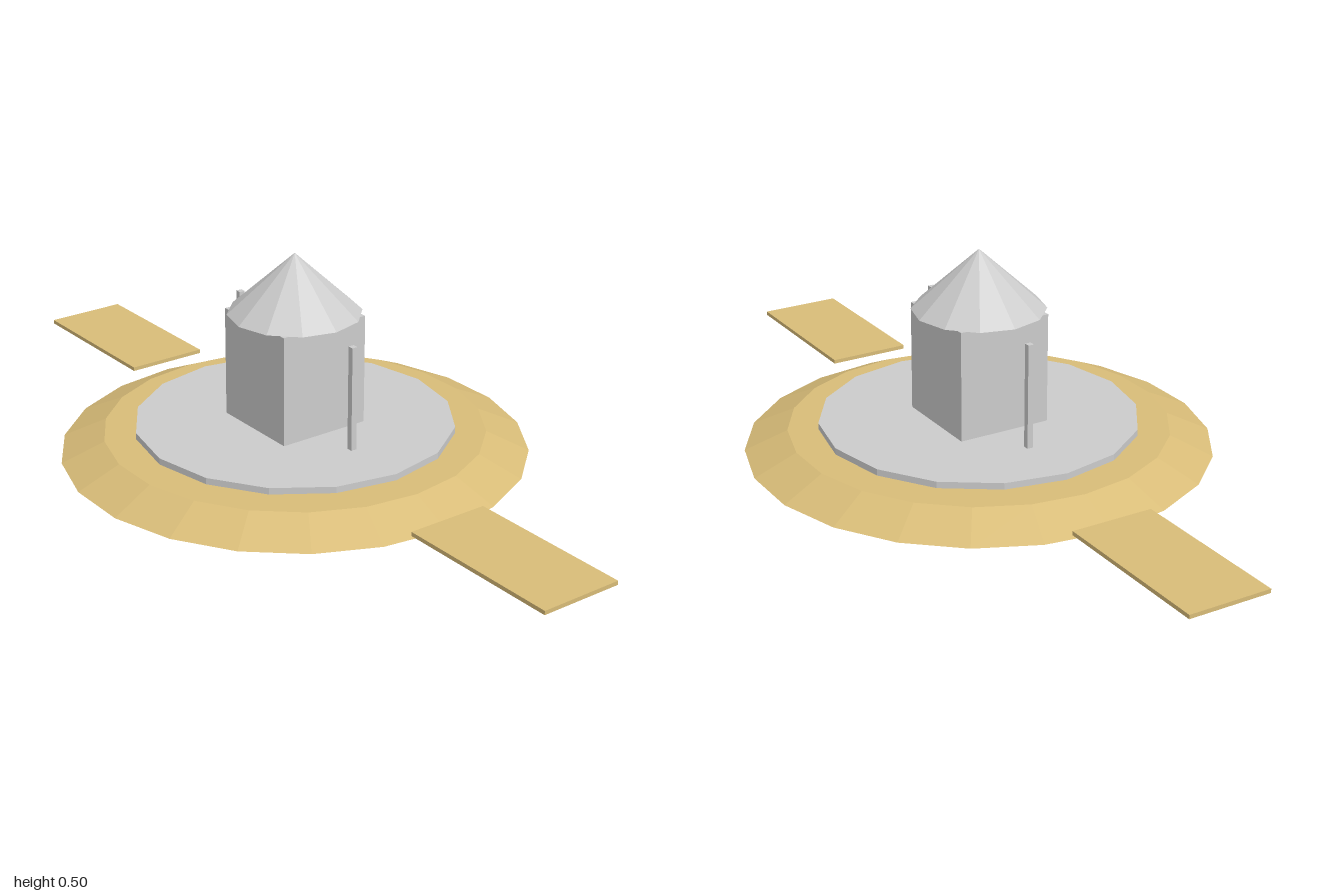
import * as THREE from 'three';

export function createModel() {
  const model = new THREE.Group();
  const grey = new THREE.MeshStandardMaterial({ color: 0xcccccc, flatShading: true });
  const sand = new THREE.MeshStandardMaterial({ color: 0xd8bc78, flatShading: true });

  // Adds a part whose underside sits at height y
  const add = (name, geometry, material, height, x, y) => {
    const mesh = new THREE.Mesh(geometry, material);
    mesh.name = name;
    mesh.position.set(x, y + height / 2, 0);
    model.add(mesh);
    return mesh;
  };
  const box = (name, w, h, d, material, x, y) =>
    add(name, new THREE.BoxGeometry(w, h, d), material, h, x, y);
  const round = (name, rTop, rBottom, h, sides, material, y) =>
    add(name, new THREE.CylinderGeometry(rTop, rBottom, h, sides), material, h, 0, y);

  // Sloped island and the paved disc just above it
  round('islandMound', 0.468, 0.573, 0.048, 22, sand, 0).rotation.y = Math.PI / 2;
  round('pavedDisc', 0.393, 0.393, 0.016, 16, grey, 0.053);

  // Square house under a twelve-sided pointed roof
  box('houseWalls', 0.24, 0.276, 0.24, grey, 0, 0.069);
  add('roof', new THREE.ConeGeometry(0.164, 0.15, 12), grey, 0.15, 0, 0.345);

  // Matching post and causeway on each side
  for (const [side, s] of [['left', 1], ['right', -1]]) {
    box(side + 'Post', 0.015, 0.261, 0.015, grey, s * 0.227, 0.069);
    box(side + 'Causeway', 0.425, 0.01, 0.21, sand, s * 0.7875, 0.02);
  }
  return model;
}
